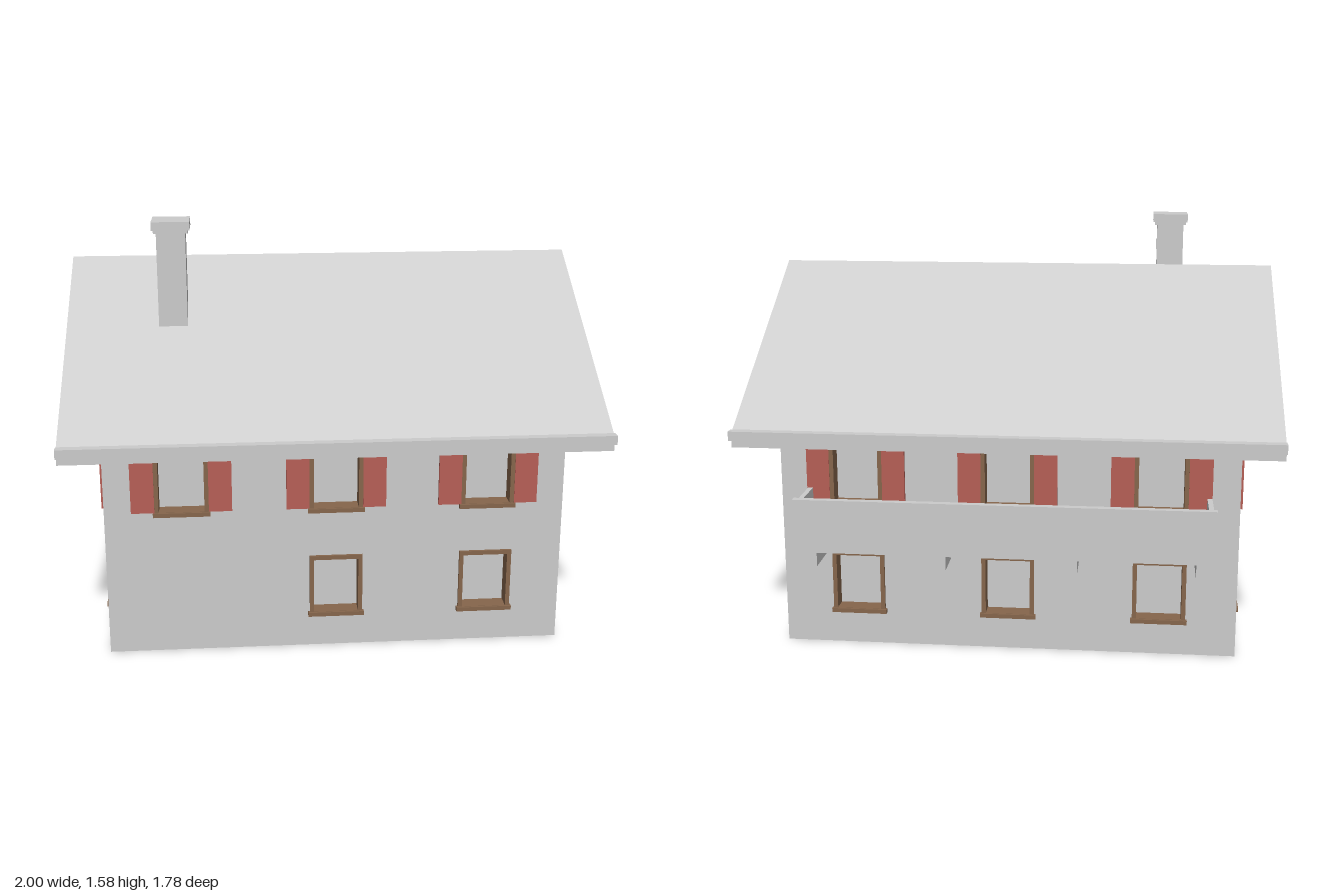
import * as THREE from 'three';

const plaster = new THREE.MeshStandardMaterial({ color: 0xcccccc, side: THREE.DoubleSide });
plaster.name = 'plaster grey';
const shutterRed = new THREE.MeshStandardMaterial({ color: 0xb65f56 });
shutterRed.name = 'shutter red';
const wood = new THREE.MeshStandardMaterial({ color: 0x86664c });
wood.name = 'frame brown';

const WIN_W = 0.2, WIN_H = 0.245, BORDER = 0.016, RECESS = 0.05;
const UPPER = 0.672, LOWER = 0.249; // window centre heights
const MID_Z = 0.015, EAVE_Y = 0.893, APEX_Y = 1.346;

// box given by its min and max corners
function box(name, material, [x0, y0, z0], [x1, y1, z1]) {
  const mesh = new THREE.Mesh(new THREE.BoxGeometry(x1 - x0, y1 - y0, z1 - z0), material);
  mesh.position.set((x0 + x1) / 2, (y0 + y1) / 2, (z0 + z1) / 2);
  mesh.name = name;
  return mesh;
}

function rectPath(PathType, cx, cy, w, h) {
  return new PathType([[-1, -1], [1, -1], [1, 1], [-1, 1]].map(
    ([a, b]) => new THREE.Vector2(cx + a * w / 2, cy + b * h / 2)));
}

// recessed window, outward is +z
function makeWindow(x, y, hasShutters) {
  const group = new THREE.Group();
  group.name = 'window';
  group.position.set(x, y, 0);

  const shape = rectPath(THREE.Shape, 0, 0, WIN_W, WIN_H);
  shape.holes.push(rectPath(THREE.Path, 0, 0, WIN_W - 2 * BORDER, WIN_H - 2 * BORDER));
  const frame = new THREE.Mesh(
    new THREE.ExtrudeGeometry(shape, { depth: RECESS + 0.01, bevelEnabled: false }), wood);
  frame.position.z = -RECESS;
  frame.name = 'windowFrame';
  group.add(frame);

  const w = WIN_W / 2, h = WIN_H / 2;
  group.add(box('windowPane', plaster, [-w, -h, -RECESS - 0.004], [w, h, -RECESS]));
  group.add(box('windowSill', wood, [-w - 0.006, -h - 0.001, 0], [w + 0.006, -h + 0.015, 0.018]));
  if (hasShutters) {
    for (const [a, b] of [[-w - 0.086, -w], [w, w + 0.086]]) {
      group.add(box('shutter', shutterRed, [a, -h + 0.016, 0], [b, h - 0.01, 0.012]));
    }
  }
  return group;
}

// wall with window openings; outline in local x and y
function makeWall(name, outline, upper, lower) {
  const group = new THREE.Group();
  group.name = name;
  const shape = new THREE.Shape(outline.map(([x, y]) => new THREE.Vector2(x, y)));
  for (const [list, y] of [[upper, UPPER], [lower, LOWER]]) {
    for (const x of list) {
      shape.holes.push(rectPath(THREE.Path, x, y, WIN_W - 0.016, WIN_H - 0.016));
      group.add(makeWindow(x, y, y === UPPER));
    }
  }
  const wall = new THREE.Mesh(new THREE.ShapeGeometry(shape), plaster);
  wall.name = 'wallFace';
  group.add(wall);
  return group;
}

function makeRoof() {
  const half = 0.843, eave = 0.857, top = 1.396, t = 0.051;
  const shape = new THREE.Shape([
    [-half, eave], [-half, eave - t], [0, top - t], [half, eave - t], [half, eave], [0, top],
  ].map(([x, y]) => new THREE.Vector2(x, y)));
  const roof = new THREE.Mesh(
    new THREE.ExtrudeGeometry(shape, { depth: 2, bevelEnabled: false }), plaster);
  roof.rotation.y = Math.PI / 2;
  roof.position.set(-1, 0, MID_Z);
  roof.name = 'roof';
  return roof;
}

function makeBalcony() {
  const g = new THREE.Group();
  g.name = 'balcony';
  const x = 0.755, back = -0.688, front = -0.88, low = 0.428, high = 0.622, t = 0.018;
  g.add(box('balconyFloor', plaster, [-x, low, front], [x, low + 0.025, back]));
  g.add(box('balconyFrontPanel', plaster, [-x, low, front], [x, high, front + t]));
  for (const s of [-1, 1]) {
    const a = s * x, b = s * (x - t);
    g.add(box('balconySidePanel', plaster,
      [Math.min(a, b), low, front + t], [Math.max(a, b), high, back]));
  }
  g.add(box('balconyRail', plaster, [-0.765, high - 0.004, -0.89], [0.765, high + 0.01, -0.865]));
  for (const bx of [-0.725, -0.242, 0.242, 0.725]) {
    g.add(box('balconyBracket', plaster, [bx - 0.026, 0.355, -0.825], [bx + 0.026, low, back]));
  }
  return g;
}

export function createModel() {
  const house = new THREE.Group();
  house.name = 'house';

  // long walls
  const W = 0.859, D = 0.705;
  const long = [[-W, 0], [W, 0], [W, EAVE_Y], [-W, EAVE_Y]];
  const cols = [-0.573, 0, 0.57];
  const front = makeWall('frontWall', long, cols, cols.slice(1));
  front.position.z = MID_Z + D;
  const back = makeWall('backWall', long, cols, cols);
  back.position.z = MID_Z - D;
  back.rotation.y = Math.PI;
  house.add(front, back);

  // gable walls
  const gable = [[-D, 0], [D, 0], [D, EAVE_Y], [0, APEX_Y], [-D, EAVE_Y]];
  for (const s of [-1, 1]) {
    const wall = makeWall(s > 0 ? 'leftGableWall' : 'rightGableWall',
      gable, [-0.468, 0, 0.468], [-0.468, 0, 0.468]);
    wall.position.set(s * W, 0, MID_Z);
    wall.rotation.y = s * Math.PI / 2;
    house.add(wall);
  }

  // roof with gutters along both eaves
  house.add(makeRoof());
  house.add(box('frontGutter', plaster, [-1, 0.839, 0.857], [1, 0.874, 0.89]));
  house.add(box('backGutter', plaster, [-1, 0.839, -0.863], [1, 0.874, -0.828]));

  // chimney with stepped cap
  house.add(box('chimneyShaft', plaster, [-0.65, 1.1, 0.241], [-0.54, 1.545, 0.352]));
  house.add(box('chimneyCapLower', plaster, [-0.66, 1.538, 0.23], [-0.53, 1.552, 0.362]));
  house.add(box('chimneyCapUpper', plaster, [-0.667, 1.55, 0.224], [-0.523, 1.583, 0.368]));

  house.add(makeBalcony());
  return house;
}
